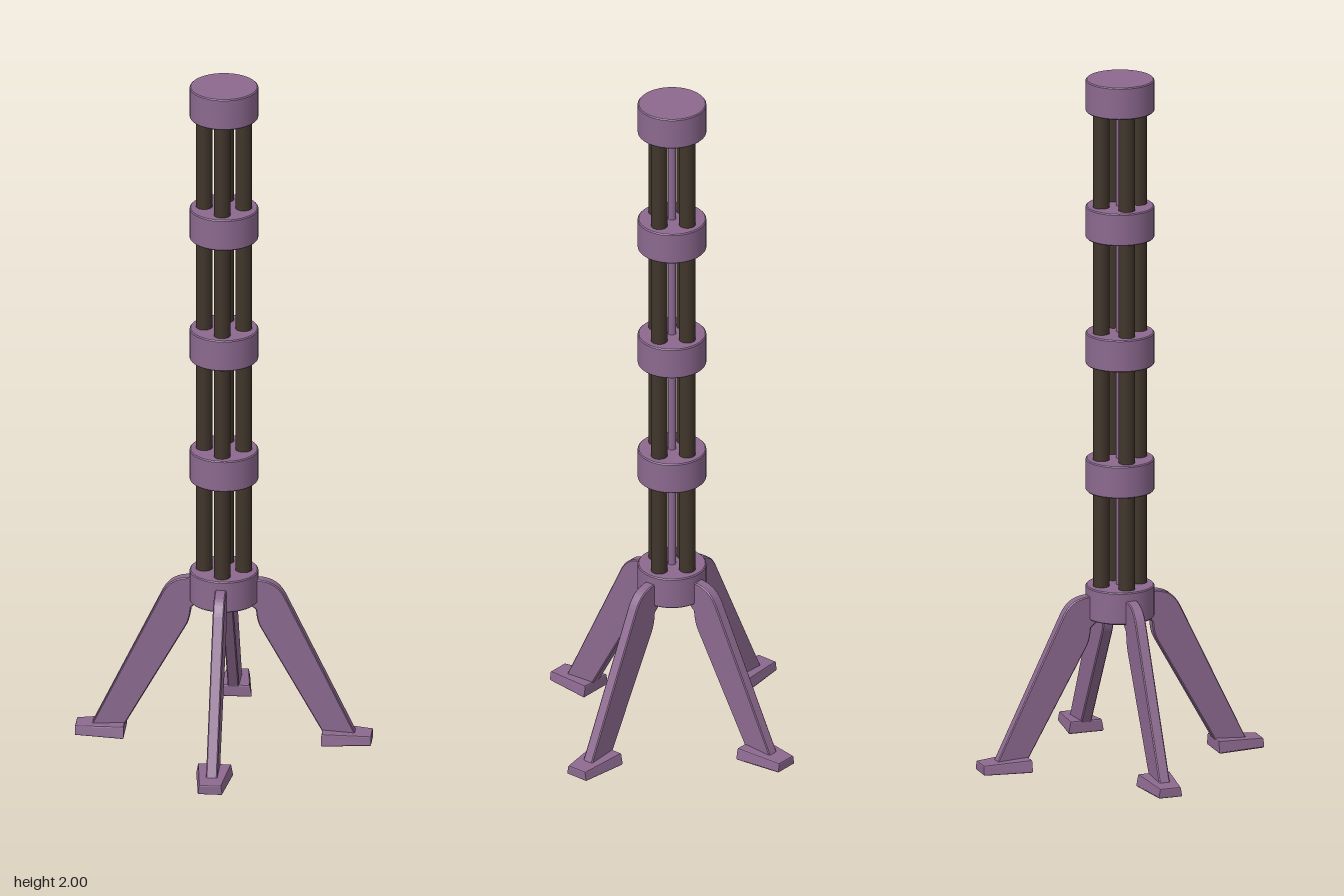
import * as THREE from 'three';

const purple = new THREE.MeshStandardMaterial({ color: 0x8c698f });
const brown = new THREE.MeshStandardMaterial({ color: 0x40352b });

function add(parent, name, geometry, material) {
  const mesh = new THREE.Mesh(geometry, material);
  mesh.name = name;
  parent.add(mesh);
  return mesh;
}

// Drum with slightly softened rims, centred on y = 0
function collarGeometry(radius, height) {
  const h = height / 2, b = 0.003;
  const profile = [[0, -h], [radius - b, -h], [radius - b, -h], [radius, -h + b], [radius, -h + b],
    [radius, h - b], [radius, h - b], [radius - b, h], [radius - b, h], [0, h]];
  return new THREE.LatheGeometry(profile.map(([x, y]) => new THREE.Vector2(x, y)), 48);
}

// Flat bent leg, lying in the xy plane
function legGeometry() {
  const b = 0.003;
  const s = new THREE.Shape();
  s.moveTo(0.06, 0.487);
  s.lineTo(0.105, 0.487);
  s.bezierCurveTo(0.14, 0.483, 0.157, 0.468, 0.172, 0.44);
  s.lineTo(0.375, 0.02);
  s.lineTo(0.290, 0.02);
  s.lineTo(0.108, 0.345);
  s.quadraticCurveTo(0.097, 0.365, 0.095, 0.40);
  s.lineTo(0.06, 0.43);
  s.closePath();
  const g = new THREE.ExtrudeGeometry(s, {
    depth: 0.026, bevelEnabled: true, bevelThickness: b, bevelSize: b, bevelSegments: 1, curveSegments: 8,
  });
  return g.translate(0, 0, -0.013);
}

// Tapered foot pad, its top sloping down towards the toe
function footGeometry() {
  const b = 0.004;
  const s = new THREE.Shape();
  s.moveTo(0.284, -0.048);
  s.lineTo(0.416, -0.031);
  s.lineTo(0.416, 0.031);
  s.lineTo(0.284, 0.048);
  s.closePath();
  const g = new THREE.ExtrudeGeometry(s, {
    depth: 0.024, bevelEnabled: true, bevelThickness: b, bevelSize: b, bevelSegments: 2,
  });
  g.rotateX(-Math.PI / 2).translate(0, b, 0);
  const p = g.attributes.position;
  for (let i = 0; i < p.count; i++) {
    const rise = p.getY(i) / 0.032;
    p.setY(i, p.getY(i) + rise * (0.005 - 0.06 * (p.getX(i) - 0.28)));
    if (rise > 0.5) p.setZ(i, p.getZ(i) * 0.9);
  }
  g.computeVertexNormals();
  return g;
}

export function createModel() {
  const model = new THREE.Group();
  model.name = 'tubeStand';

  // Five collars up the column
  const collar = collarGeometry(0.097, 0.094);
  for (let i = 0; i < 5; i++) {
    add(model, i === 4 ? 'topCap' : i === 0 ? 'hub' : 'collar', collar, purple).position.y = 0.468 + i * 0.37125;
  }

  // Thin core rod
  add(model, 'coreRod', new THREE.CylinderGeometry(0.012, 0.012, 1.48, 16), purple).position.y = 1.21;

  // Four tubes and four legs, one per quarter turn
  const tube = new THREE.CylinderGeometry(0.0235, 0.0235, 1.48, 24);
  const leg = legGeometry();
  const foot = footGeometry();
  for (let k = 0; k < 4; k++) {
    const quarter = new THREE.Group();
    quarter.name = 'quarter';
    quarter.rotation.y = k * Math.PI / 2;
    add(quarter, 'tube', tube, brown).position.set(0.056, 1.21, 0);
    add(quarter, 'leg', leg, purple);
    add(quarter, 'foot', foot, purple);
    model.add(quarter);
  }
  return model;
}
